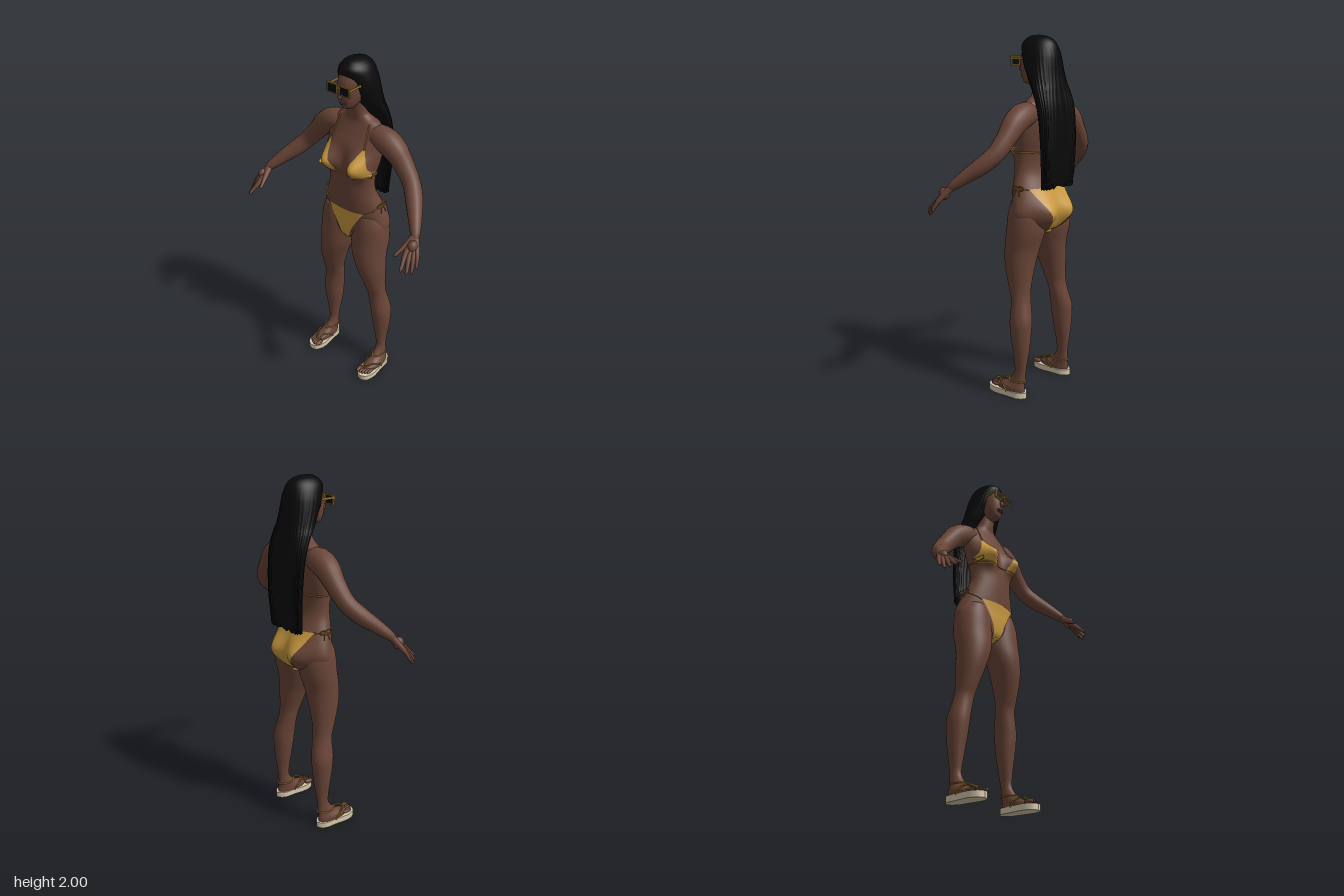
import * as THREE from 'three';
import { mergeVertices } from 'three/addons/utils/BufferGeometryUtils.js';

const mat = (name, color, side = THREE.FrontSide) => {
  const m = new THREE.MeshStandardMaterial({ color, side });
  m.name = name;
  return m;
};
const V = (x, y, z) => new THREE.Vector3(x, y, z);
const curve = (pts) => new THREE.CatmullRomCurve3(pts, false, 'catmullrom', 0.5);

// Smooth body from horizontal sections [y, centreX, centreZ, radiusX, radiusZ, squareness]
function loft(rows, seg, n, bend) {
  const a = curve(rows.map(r => V(r[0], r[1], r[2])));
  const b = curve(rows.map(r => V(r[3], r[4], r[5] || 2)));
  const pos = [], idx = [];
  const sq = (v, e) => Math.sign(v) * Math.pow(Math.abs(v), 2 / e);
  for (let i = 0; i <= n; i++) {
    const c = a.getPoint(i / n), r = b.getPoint(i / n);
    for (let j = 0; j < seg; j++) {
      const t = j / seg * Math.PI * 2;
      const p = V(c.y + sq(Math.sin(t), r.z) * r.x, c.x, c.z + sq(Math.cos(t), r.z) * r.y);
      if (bend) bend(p, t, c);
      pos.push(p.x, p.y, p.z);
      if (i < n) {
        const k = i * seg, q = k + (j + 1) % seg, u = k + j;
        idx.push(u, q, u + seg, q, q + seg, u + seg);
      }
    }
  }
  const lo = a.getPoint(0), hi = a.getPoint(1), m = (n + 1) * seg;
  pos.push(lo.y, lo.x, lo.z, hi.y, hi.x, hi.z);
  for (let j = 0; j < seg; j++) {
    const k = (j + 1) % seg;
    idx.push(m, k, j, m + 1, n * seg + j, n * seg + k);
  }
  const g = new THREE.BufferGeometry();
  g.setAttribute('position', new THREE.Float32BufferAttribute(pos, 3));
  g.setIndex(idx);
  g.computeVertexNormals();
  return g;
}

// Tapered tube through [x, y, z, radius] with a rounded tip
function limb(pts, n = 24, seg = 12) {
  const path = curve(pts.map(p => V(p[0], p[1], p[2])));
  const rad = curve(pts.map(p => V(p[3], 0, 0)));
  const g = new THREE.TubeGeometry(path, n, 1, seg), P = g.attributes.position, v = V(0, 0, 0);
  for (let i = 0; i <= n; i++) {
    const u = i / n, c = path.getPointAt(u);
    const tip = u > 0.9 ? Math.sqrt(Math.max(0.001, 1 - ((u - 0.9) / 0.1) ** 2)) : 1;
    const r = rad.getPoint(path.getUtoTmapping(u)).x * tip;
    for (let j = 0; j <= seg; j++) {
      const k = i * (seg + 1) + j;
      v.fromBufferAttribute(P, k).sub(c).multiplyScalar(r).add(c);
      P.setXYZ(k, v.x, v.y, v.z);
    }
  }
  g.deleteAttribute('uv');
  g.deleteAttribute('normal');
  const m = mergeVertices(g, 1e-5);
  m.computeVertexNormals();
  return m;
}

export function createModel() {
  const group = new THREE.Group();
  const skin = mat('brown skin', 0x6a4537), hairMat = mat('black hair', 0x090909);
  const cloth = mat('gold fabric', 0xc8993f, THREE.DoubleSide), trim = mat('dark gold trim', 0x9a7428);
  const lens = mat('dark lens', 0x08080a), sole = mat('cream sole', 0xd6c9ac), lipMat = mat('lips', 0x5b3430);
  const add = (name, geo, m) => {
    const mesh = new THREE.Mesh(geo, m);
    mesh.name = name;
    group.add(mesh);
    return mesh;
  };
  const ball = (name, m, x, y, z, rx, ry, rz) =>
    add(name, new THREE.SphereGeometry(1, 20, 14).scale(rx, ry, rz).translate(x, y, z), m);
  const cord = (name, pts, r = 0.004) => add(name, new THREE.TubeGeometry(curve(pts), pts.length * 5, r, 6), trim);

  // Torso and neck, with chest and seat curves
  const hump = (p, x, y, sx, sy) =>
    Math.exp(-(((Math.abs(p.x) - x) / sx) ** 2) - ((p.y - y) / sy) ** 2);
  const torso = add('torso', loft([
    [0.925, 0, -0.07, 0.05, 0.05], [0.96, 0, -0.075, 0.15, 0.085], [1.0, 0, -0.08, 0.2, 0.1],
    [1.05, 0, -0.085, 0.22, 0.11], [1.1, 0, -0.083, 0.212, 0.11], [1.18, 0, -0.065, 0.183, 0.1],
    [1.27, 0, -0.045, 0.15, 0.085], [1.36, 0, -0.045, 0.147, 0.083], [1.45, 0, -0.06, 0.165, 0.09],
    [1.53, 0, -0.075, 0.175, 0.09], [1.59, 0, -0.09, 0.18, 0.075], [1.635, 0, -0.098, 0.155, 0.062],
    [1.66, 0, -0.1, 0.12, 0.056], [1.68, 0, -0.096, 0.082, 0.052], [1.71, 0, -0.088, 0.058, 0.05],
    [1.8, 0, -0.075, 0.053, 0.05]], 72, 130, (p, t) => {
    const f = Math.cos(t);
    if (f > 0) p.z += 0.077 * Math.min(1, f * 3) * hump(p, 0.1, 1.437, 0.056, 0.062);
    else p.z -= 0.05 * Math.min(1, -f * 3) * hump(p, 0.088, 1.045, 0.065, 0.085);
  }), skin);

  // Head and face
  add('head', loft([
    [1.743, 0, -0.008, 0.015, 0.02], [1.752, 0, -0.012, 0.033, 0.04], [1.775, 0, -0.022, 0.05, 0.058],
    [1.81, 0, -0.037, 0.063, 0.08], [1.85, 0, -0.05, 0.07, 0.095], [1.9, 0, -0.06, 0.073, 0.098],
    [1.95, 0, -0.07, 0.062, 0.08], [1.985, 0, -0.07, 0.025, 0.035]], 40, 40), skin);
  add('nose', limb([[0, 1.88, 0.038, 0.007], [0, 1.85, 0.048, 0.009], [0, 1.822, 0.055, 0.012], [0, 1.81, 0.046, 0.008]]), skin);
  ball('upper lip', lipMat, 0, 1.79, 0.036, 0.023, 0.006, 0.013);
  ball('lower lip', lipMat, 0, 1.78, 0.034, 0.02, 0.007, 0.013);

  // Long straight hair: a cap that flattens into a sheet down the back
  const hair = [[1.2, 0.128, -0.175, -0.222, 3.5], [1.4, 0.138, -0.175, -0.235, 3.5], [1.6, 0.14, -0.15, -0.23, 3.2],
    [1.7, 0.133, -0.1, -0.215, 2.7], [1.75, 0.122, -0.06, -0.207, 2.4], [1.8, 0.115, -0.03, -0.2, 2.3],
    [1.85, 0.109, 0, -0.196, 2.2], [1.9, 0.1, 0.018, -0.19, 2.1], [1.95, 0.083, 0.03, -0.175, 2],
    [1.98, 0.058, 0.008, -0.148, 2], [1.995, 0.03, -0.02, -0.11, 2], [2.0, 0.006, -0.06, -0.072, 2]];
  add('hair', loft(hair.map(([y, w, f, b, e]) => [y, 0, (f + b) / 2, w, (f - b) / 2, e]), 120, 70, (p, t) => {
    const k = Math.min(1, Math.max(0, (1.95 - p.y) * 5));
    const w = 1 + 0.016 * k * Math.sin(t * 30);
    p.x *= w;
    p.z -= 0.002 * k * Math.cos(t * 30);
    if (p.y < 1.22) p.y += 0.012 * Math.sin(t * 17);
  }), hairMat);

  const legs = [];
  for (const s of [1, -1]) {
    const side = s > 0 ? 'left' : 'right';
    // Leg down to the foot
    legs.push(add(side + ' leg', loft([
      [0.03, 0.205, -0.03, 0.042, 0.1], [0.055, 0.205, -0.035, 0.042, 0.095], [0.075, 0.202, -0.06, 0.036, 0.068],
      [0.1, 0.198, -0.08, 0.03, 0.05], [0.15, 0.196, -0.097, 0.027, 0.035], [0.22, 0.194, -0.1, 0.034, 0.042],
      [0.3, 0.192, -0.1, 0.047, 0.052], [0.38, 0.19, -0.097, 0.056, 0.061], [0.45, 0.186, -0.094, 0.059, 0.065],
      [0.56, 0.167, -0.08, 0.056, 0.055], [0.63, 0.159, -0.066, 0.06, 0.064], [0.75, 0.142, -0.052, 0.081, 0.086],
      [0.85, 0.123, -0.053, 0.1, 0.097], [0.95, 0.113, -0.07, 0.112, 0.105], [1.05, 0.112, -0.075, 0.105, 0.1],
      [1.12, 0.108, -0.07, 0.08, 0.08]].map(r => [r[0], r[1] * s, ...r.slice(2)]), 40, 90), skin));
    [[0.172, 0.08, 0.014], [0.192, 0.08, 0.01], [0.208, 0.075, 0.01], [0.223, 0.066, 0.009], [0.237, 0.055, 0.009]]
      .forEach(([x, z, r]) => ball(side + ' toe', skin, s * x, 0.045, z, r, r, 0.03));

    // Sandal
    const outline = new THREE.Shape();
    outline.moveTo(0, -0.117);
    outline.splineThru([[-0.035, -0.1], [-0.053, -0.045], [-0.045, 0.04], [-0.038, 0.11], [0, 0.145], [0.038, 0.11],
      [0.045, 0.04], [0.053, -0.045], [0.035, -0.1], [0, -0.117]].map(p => new THREE.Vector2(...p)));
    add(side + ' sandal sole', new THREE.ExtrudeGeometry(outline, { depth: 0.034, bevelEnabled: false, curveSegments: 5 })
      .rotateX(-Math.PI / 2).translate(s * 0.205, 0, 0), sole);
    for (const x of [0.16, 0.25])
      cord(side + ' sandal strap', [V(s * 0.184, 0.045, 0.085), V(s * (0.2 + x) / 2, 0.075, 0.03), V(s * x, 0.06, -0.015), V(s * x, 0.03, -0.04)], 0.005);
    add(side + ' ankle strap', new THREE.TorusGeometry(1, 0.12, 6, 28).rotateX(Math.PI / 2)
      .scale(0.034, 0.035, 0.054).translate(s * 0.199, 0.094, -0.077), trim);

    // Arm and hand
    const reach = (name, pts) => add(side + ' ' + name, limb(pts.map(p => [p[0] * s, ...p.slice(1)]), 30, 16), skin);
    reach('arm', [[0.09, 1.59, -0.095, 0.055], [0.165, 1.585, -0.098, 0.068], [0.235, 1.55, -0.1, 0.066],
      [0.295, 1.487, -0.1, 0.055], [0.365, 1.405, -0.085, 0.048], [0.42, 1.345, -0.04, 0.046],
      [0.47, 1.295, 0.015, 0.038], [0.525, 1.235, 0.08, 0.026], [0.545, 1.205, 0.105, 0.024]]);
    [['index finger', [0.53, 1.165, 0.163], [0.543, 1.125, 0.205], [0.551, 1.1, 0.233]],
      ['middle finger', [0.547, 1.16, 0.153], [0.565, 1.115, 0.19], [0.575, 1.082, 0.213]],
      ['ring finger', [0.562, 1.16, 0.14], [0.58, 1.115, 0.168], [0.588, 1.078, 0.188]],
      ['little finger', [0.572, 1.168, 0.124], [0.59, 1.13, 0.145], [0.598, 1.1, 0.16]],
      ['thumb', [0.507, 1.19, 0.14], [0.495, 1.168, 0.175], [0.486, 1.15, 0.202]]].forEach(([name, a, b, c]) =>
      reach(name, [[0.525, 1.235, 0.08, 0.02], [...a, 0.0145], [...b, 0.01], [...c, 0.0085]]));
    ball(side + ' palm', skin, s * 0.542, 1.195, 0.12, 0.026, 0.033, 0.032);

    // Sunglasses
    const box = (name, w, h, d, x, y, z, m) => add(name, new THREE.BoxGeometry(w, h, d).translate(x, y, z), m);
    const rect = (c, w, h) => c.moveTo(-w, -h).lineTo(w, -h).lineTo(w, h).lineTo(-w, h).closePath();
    const frame = rect(new THREE.Shape(), 0.034, 0.026);
    frame.holes.push(rect(new THREE.Path(), 0.028, 0.021));
    add(side + ' glasses rim', new THREE.ExtrudeGeometry(frame, { depth: 0.01, bevelEnabled: false })
      .translate(s * 0.041, 1.865, 0.06), trim);
    box(side + ' lens', 0.058, 0.044, 0.008, s * 0.041, 1.865, 0.066, lens);
    box(side + ' temple', 0.005, 0.012, 0.11, s * 0.074, 1.878, 0.01, trim);
    if (s > 0) box('glasses bridge', 0.02, 0.008, 0.008, 0, 1.872, 0.065, trim);
  }

  // Find skin points so that the swimwear follows the body
  const ray = new THREE.Raycaster();
  const onSkin = (p, d, lift) => {
    ray.set(p, d);
    const hit = ray.intersectObjects([torso, ...legs])[0];
    return hit ? hit.point.addScaledVector(d, -lift) : null;
  };
  const flat = (x, y, f, lift = 0.005) => onSkin(V(x, y, f), V(0, 0, -f), lift);
  const round = (t, y) => onSkin(V(Math.sin(t), y, Math.cos(t) - 0.07), V(-Math.sin(t), 0, -Math.cos(t)), 0.003);
  function drape(name, y0, y1, left, right, face) {
    const nx = 20, ny = 24, pos = [], idx = [];
    let last = V(0, y0, 0);
    for (let i = 0; i <= ny; i++) for (let j = 0; j <= nx; j++) {
      const t = i / ny, x = THREE.MathUtils.lerp(left(t), right(t), j / nx), y = y0 + (y1 - y0) * t;
      last = flat(x, y, face) || V(x, y, last.z);
      pos.push(last.x, last.y, last.z);
      const k = i * (nx + 1) + j, u = k + nx + 1;
      if (i < ny && j < nx) idx.push(...(face > 0 ? [k, k + 1, u, k + 1, u + 1, u] : [k, u, k + 1, k + 1, u, u + 1]));
    }
    const g = new THREE.BufferGeometry();
    g.setAttribute('position', new THREE.Float32BufferAttribute(pos, 3));
    g.setIndex(idx);
    g.computeVertexNormals();
    add(name, g, cloth);
  }

  // Bikini bottom
  const front = t => 0.026 + 0.1 * t ** 1.5, back = t => 0.035 + 0.115 * t ** 0.8;
  drape('bikini bottom front', 0.94, 1.145, t => -front(t), front, 1);
  drape('bikini bottom back', 0.95, 1.19, t => -back(t), back, -1);
  ball('bikini gusset', cloth, 0, 0.942, -0.075, 0.03, 0.024, 0.085);

  // Bikini top and cords
  const cords = (name, pts) => cord(name, pts.filter(Boolean));
  cords('chest band', Array.from({ length: 49 }, (_, i) => round(i / 48 * Math.PI * 2, 1.383)));
  for (const s of [1, -1]) {
    const side = s > 0 ? 'left' : 'right';
    const inner = t => s * (0.038 + 0.072 * t ** 1.1), outer = t => s * (0.158 - 0.04 * t ** 1.9);
    drape(side + ' bikini cup', 1.375, 1.54, s > 0 ? inner : outer, s > 0 ? outer : inner, 1);
    cords(side + ' neck strap', [0, 1, 2, 3, 4, 5].map(i => flat(s * (0.114 - 0.003 * i), 1.535 + 0.024 * i, 1, 0.003)));
    cords(side + ' hip cord', [[1.0, 1.143], [1.2, 1.16], [1.4, 1.178], [1.57, 1.188], [1.75, 1.19], [1.92, 1.188]]
      .map(([t, y]) => round(s * t, y)));
    for (const z of [-1, 1]) {
      add(side + ' bow loop', new THREE.TorusGeometry(0.016, 0.003, 6, 16).rotateY(Math.PI / 2)
        .scale(1, 0.7, 1.2).translate(s * 0.187, 1.194, -0.075 + z * 0.019), trim);
      cord(side + ' bow tail', [V(s * 0.187, 1.19, -0.075), V(s * 0.194, 1.172, -0.075 + z * 0.014), V(s * 0.2, 1.152, -0.075 + z * 0.018)], 0.003);
    }
  }
  return group;
}
